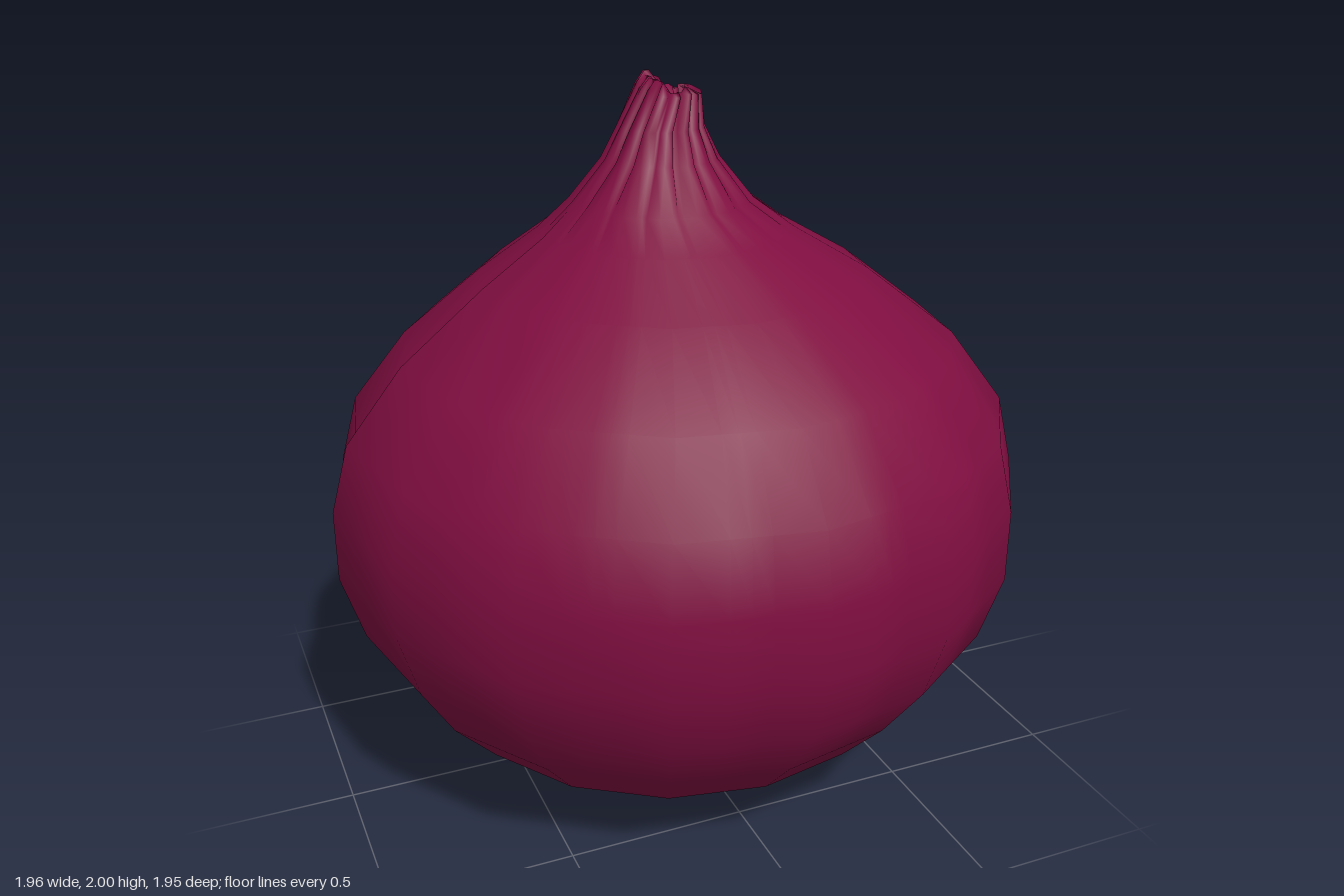
import * as THREE from 'three';

const SIDES = 16;
const SUB = [0, 0.36, 0.5, 0.64]; // each side carries one narrow groove in its middle
const STEP = (Math.PI * 2) / SIDES;
const START = -Math.PI / 2; // the loose edge of the outer layer
const PEAK = Math.atan2(-0.06, -0.04); // highest side of the stem tip

// Position on a ring; round = true ignores the flat sides (used for smooth normals)
function ringPoint(ring, col, round) {
  const { y, r, cx = 0, cz = 0, groove = 0, seam = 0, lift = 0, scallop = 0, twist = 0 } = ring;
  const side = Math.floor(col / SUB.length);
  const u = SUB[col % SUB.length];
  const a = START + (side + u) * STEP;
  let k = round ? 1 : Math.cos(STEP / 2) / Math.cos((u - 0.5) * STEP);
  // uneven grooves, deepest at the middle column
  const vary = 0.75 + 0.25 * Math.sin(side * 2.4 + 1);
  const g = u === 0.5 ? 1 : u === 0 ? 0 : 0.1;
  k *= 1 - groove * vary * g;
  // the layer winds inward before it slips under its own edge
  const turn = (a - START) / (Math.PI * 2);
  k *= 1 - seam * 0.025 * THREE.MathUtils.smoothstep(turn, 0.65, 0.97);
  const h = y + lift * Math.max(0, Math.cos(a - PEAK)) + scallop * g * vary
    + lift * 0.2 * Math.sin(side * 1.9);
  const t = a + twist;
  return [cx + Math.sin(t) * r * k, h, cz + Math.cos(t) * r * k];
}

// Skin a stack of rings; the last columns overlap the first ones
function loft(rings) {
  const cols = SIDES * SUB.length + 3;
  const make = (round) => {
    const pos = [];
    const index = [];
    rings.forEach((ring, i) => {
      for (let j = 0; j < cols; j++) {
        pos.push(...ringPoint(ring, j, round));
        if (i < rings.length - 1 && j < cols - 1) {
          const a = i * cols + j;
          const b = a + cols;
          index.push(a, a + 1, b, a + 1, b + 1, b);
        }
      }
    });
    const geo = new THREE.BufferGeometry();
    geo.setAttribute('position', new THREE.Float32BufferAttribute(pos, 3));
    geo.setIndex(index);
    geo.computeVertexNormals();
    return geo;
  };
  const geo = make(false);
  geo.setAttribute('normal', make(true).getAttribute('normal'));
  return geo;
}

export function createModel() {
  const group = new THREE.Group();
  group.name = 'onion';

  const skinMat = new THREE.MeshStandardMaterial({ color: 0x7f0e40, side: THREE.DoubleSide });
  skinMat.name = 'purple skin';
  const rootMat = new THREE.MeshStandardMaterial({ color: 0x7e6640, side: THREE.DoubleSide });
  rootMat.name = 'dry root';

  // Bulb and stem, from the root up to the pinched tip
  const bulb = new THREE.Mesh(loft([
    { y: 0.01, r: 0.28, cz: -0.05, groove: 0.08, scallop: 0.03 },
    { y: 0.04, r: 0.38, cz: -0.03, groove: 0.07, scallop: 0.02 },
    { y: 0.12, r: 0.545, cx: -0.02, groove: 0.03 },
    { y: 0.21, r: 0.68, cx: -0.01, seam: 0.4 },
    { y: 0.35, r: 0.81, cx: -0.01, seam: 0.7 },
    { y: 0.51, r: 0.92, seam: 1 },
    { y: 0.7, r: 0.98, seam: 1 },
    { y: 0.9, r: 0.98, seam: 1 },
    { y: 1.09, r: 0.93, cz: 0.01, seam: 1 },
    { y: 1.29, r: 0.775, cz: 0.02, seam: 1 },
    { y: 1.47, r: 0.54, seam: 0.8 },
    { y: 1.59, r: 0.35, cx: -0.02, seam: 0.4 },
    { y: 1.67, r: 0.25, cx: -0.03, cz: -0.005, groove: 0.04 },
    { y: 1.78, r: 0.16, cx: -0.03, cz: -0.01, groove: 0.16, twist: 0.08 },
    { y: 1.86, r: 0.12, cx: -0.025, cz: -0.02, groove: 0.22, twist: 0.15 },
    { y: 1.945, r: 0.09, cx: 0, cz: -0.025, groove: 0.3, lift: 0.02, twist: 0.25 },
    { y: 1.955, r: 0.065, cx: 0, cz: -0.03, groove: 0.3, lift: 0.04, twist: 0.35 },
    { y: 1.92, r: 0.03, cx: 0.02, cz: -0.03, groove: 0.2, lift: 0.02, twist: 0.5 },
    { y: 1.9, r: 0, cx: 0.03, cz: -0.03 },
  ]), skinMat);
  bulb.name = 'bulb';

  // Puckered root plate underneath
  const root = new THREE.Mesh(loft([
    { y: 0.03, r: 0, cz: -0.05 },
    { y: 0.015, r: 0.12, cz: -0.05, groove: 0.05, scallop: 0.015 },
    { y: 0, r: 0.24, cz: -0.05, groove: 0.06, scallop: 0.03 },
    { y: 0.01, r: 0.282, cz: -0.05, groove: 0.08, scallop: 0.03 },
  ]), rootMat);
  root.name = 'rootPlate';

  group.add(bulb, root);
  return group;
}
